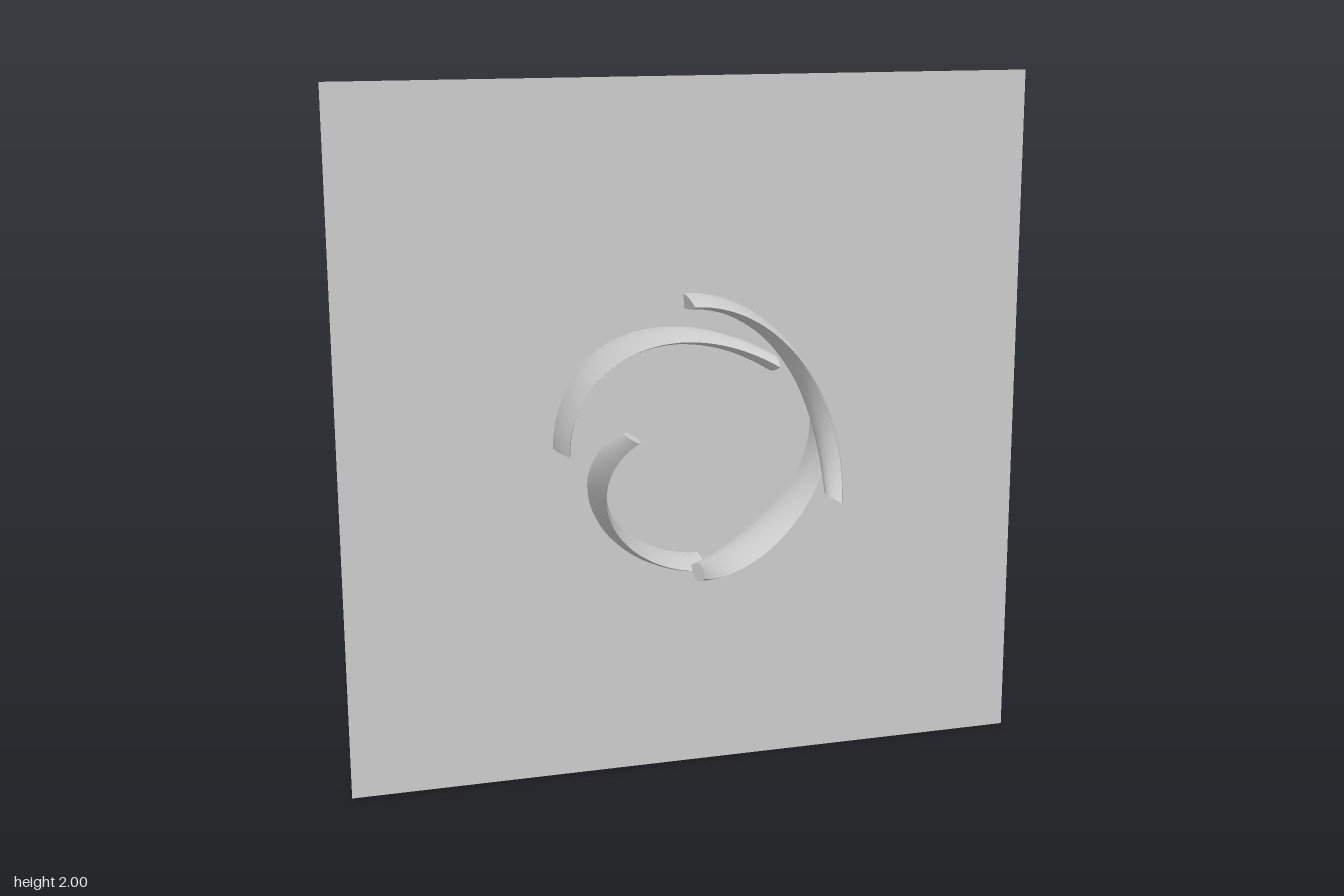
import * as THREE from 'three';
import { toCreasedNormals } from 'three/addons/utils/BufferGeometryUtils.js';

const BLADES = 4;
const STEPS = 32;  // stations along a blade
const ACROSS = 8;  // facets over each face of the lens section

// Lens-shaped section swept along a tightening spiral that curls forward in z
function bladeGeometry() {
  const start = THREE.MathUtils.degToRad(93);
  const sweep = THREE.MathUtils.degToRad(113);
  const ring = ACROSS * 2;
  const positions = [], index = [];
  for (let s = 0; s <= STEPS; s++) {
    const t = s / STEPS;
    const angle = start - sweep * t;
    const radius = 0.38 - 0.083 * Math.pow(t, 1.3);
    const zMid = -0.19 + 0.425 * Math.pow(t, 2.3);
    const halfWidth = 0.118 - 0.053 * Math.pow(t, 4);
    for (let k = 0; k < ring; k++) {
      const a = Math.PI * k / ACROSS;
      const w = -Math.cos(a);                              // back edge to front edge
      const r = radius + 0.021 * Math.sign(Math.sin(a)) * (1 - w * w);
      positions.push(r * Math.cos(angle), r * Math.sin(angle), zMid + halfWidth * w);
    }
  }
  for (let s = 0; s < STEPS; s++) {
    for (let k = 0; k < ring; k++) {
      const a = s * ring + k, b = s * ring + (k + 1) % ring;
      index.push(a, b, a + ring, b, b + ring, a + ring);
    }
  }
  // End caps
  const last = STEPS * ring;
  for (let k = 1; k < ring - 1; k++) {
    index.push(0, k + 1, k, last, last + k, last + k + 1);
  }
  const geometry = new THREE.BufferGeometry();
  geometry.setAttribute('position', new THREE.Float32BufferAttribute(positions, 3));
  geometry.setIndex(index);
  return toCreasedNormals(geometry, 0.5);
}

export function createModel() {
  const model = new THREE.Group();
  model.name = 'bladeRingOnPanel';
  const material = new THREE.MeshStandardMaterial({ color: 0xcccccc, side: THREE.DoubleSide });

  // Thin square panel cutting through the roots of the blades
  const panel = new THREE.Mesh(new THREE.PlaneGeometry(2, 2), material);
  panel.name = 'panel';
  panel.position.set(0, 1, -0.19);
  model.add(panel);

  // Ring of curved blades
  const blades = new THREE.Group();
  blades.name = 'blades';
  blades.position.y = 1;
  const geometry = bladeGeometry();
  for (let i = 0; i < BLADES; i++) {
    const blade = new THREE.Mesh(geometry, material);
    blade.name = `blade${i + 1}`;
    blade.rotation.z = -i * 2 * Math.PI / BLADES;
    blades.add(blade);
  }
  model.add(blades);
  return model;
}
